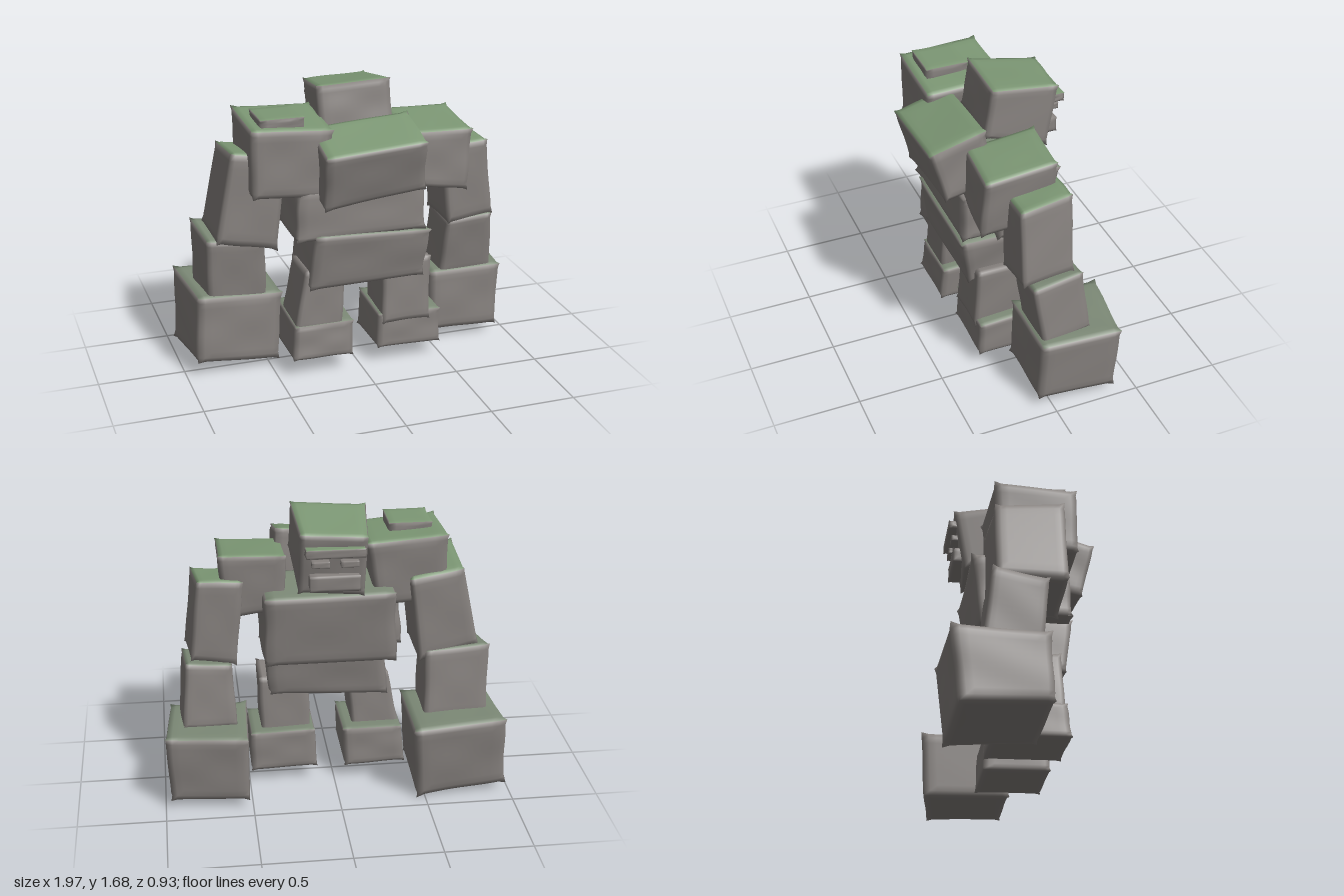
import * as THREE from 'three';
import { mergeVertices } from 'three/addons/utils/BufferGeometryUtils.js';

const stoneMat = new THREE.MeshStandardMaterial({ color: 0x87827f });
const mossMat = new THREE.MeshStandardMaterial({ color: 0x7d9875 });
const faintMossMat = new THREE.MeshStandardMaterial({ color: 0x7d8a77 });
const { lerp, clamp } = THREE.MathUtils;

// A worn block. quad: front corners [x, y] as bottom left, bottom right, top right, top left.
// z: [bottom back, bottom front, top back, top front].
// dy: how far the back rises [bottom, top]; dx: how far the back shifts [left, right].
// skew: how much further forward the +x side sits than the -x side [back, front].
function stone(name, quad, z, { top = stoneMat, dy = [0, 0], dx = [0, 0], skew = [0, 0], segments = 12 } = {}) {
  let geo = new THREE.BoxGeometry(2, 2, 2, segments, segments, segments);
  geo.deleteAttribute('uv');
  geo.deleteAttribute('normal');
  geo = mergeVertices(geo);
  const pos = geo.attributes.position;
  const p = new THREE.Vector3(), inner = new THREE.Vector3();
  const [bl, br, tr, tl] = quad;
  const phase = bl[0] * 17 + bl[1] * 9;
  for (let i = 0; i < pos.count; i++) {
    p.fromBufferAttribute(pos, i);
    // Blunt the edges, then pull the corners out into small ears
    const corner = Math.abs(p.x * p.y * p.z) > 0.99;
    inner.set(clamp(p.x, -0.88, 0.88), clamp(p.y, -0.88, 0.88), clamp(p.z, -0.88, 0.88));
    p.sub(inner).setLength(0.12).add(inner);
    if (corner) p.multiplyScalar(1.05);
    // Shallow dents over the faces
    p.multiplyScalar(1 + 0.012 * Math.sin(3 * p.x + phase) * Math.sin(4 * p.y + phase * 2 + 2 * p.z));
    const u = (p.x + 1) / 2, v = (p.y + 1) / 2, w = (p.z + 1) / 2;
    pos.setXYZ(i,
      lerp(lerp(bl[0], br[0], u), lerp(tl[0], tr[0], u), v) + lerp(dx[0], dx[1], u) * (1 - w),
      lerp(lerp(bl[1], br[1], u), lerp(tl[1], tr[1], u), v) + lerp(dy[0], dy[1], v) * (1 - w),
      lerp(lerp(z[0], z[1], w), lerp(z[2], z[3], w), v) + lerp(skew[0], skew[1], w) * (u - 0.5));
  }
  geo.computeVertexNormals();
  const mesh = new THREE.Mesh(geo, [stoneMat, stoneMat, top, stoneMat, stoneMat, stoneMat]);
  mesh.name = name;
  return mesh;
}

// Upright block given by its centre and size
function slab(name, [x, y, z], [w, h, d], top = stoneMat) {
  const [l, r, b, t] = [x - w / 2, x + w / 2, y - h / 2, y + h / 2];
  return stone(name, [[l, b], [r, b], [r, t], [l, t]], [z - d / 2, z + d / 2, z - d / 2, z + d / 2],
    { top, segments: 6 });
}

function group(name, ...parts) {
  const g = new THREE.Group();
  g.name = name;
  g.add(...parts);
  return g;
}

export function createModel() {
  const model = group('stoneGolem');

  // Torso
  model.add(group('torso',
    stone('upperBack', [[-0.26, 1.05], [0.33, 1.12], [0.31, 1.42], [-0.27, 1.38]], [0.1, 0.39, 0.14, 0.47],
      { top: mossMat, dy: [0.05, 0.09] }),
    stone('chest', [[-0.37, 0.84], [0.42, 0.84], [0.42, 1.26], [-0.35, 1.27]], [-0.21, 0.12, -0.26, 0.12],
      { top: faintMossMat, dy: [-0.04, -0.03], dx: [0.02, -0.02] }),
    stone('waist', [[-0.4, 0.85], [0.37, 0.85], [0.36, 1.13], [-0.38, 1.15]], [-0.08, 0.31, -0.08, 0.3]),
    stone('pelvis', [[-0.32, 0.54], [0.37, 0.55], [0.4, 0.85], [-0.29, 0.88]], [-0.08, 0.28, -0.11, 0.33],
      { top: faintMossMat, skew: [0.04, 0] })));

  // Head, with the face on the -z side
  const head = group('head',
    stone('skull', [[-0.19, 1.39], [0.24, 1.41], [0.23, 1.69], [-0.2, 1.67]], [-0.27, 0.11, -0.34, 0.06],
      { top: mossMat, dy: [-0.15, -0.06], dx: [0.04, -0.02], skew: [0.02, 0.02] }),
    slab('brow', [0.02, 1.53, -0.335], [0.33, 0.05, 0.08], mossMat),
    slab('jaw', [0.02, 1.345, -0.3], [0.28, 0.09, 0.09]));
  for (const s of [-1, 1]) {
    head.add(slab('eye', [0.02 + s * 0.08, 1.46, -0.325], [0.1, 0.035, 0.06]));
  }
  model.add(head);

  // Left arm
  model.add(group('leftArm',
    stone('shoulder', [[0.28, 1.1], [0.62, 1.05], [0.65, 1.41], [0.27, 1.41]], [-0.14, 0.29, -0.14, 0.27],
      { top: mossMat, dy: [0.02, 0.04], skew: [0.03, 0.03] }),
    stone('upperArm', [[0.57, 0.79], [0.85, 0.83], [0.8, 1.29], [0.52, 1.28]], [-0.16, 0.15, -0.16, 0.15],
      { top: mossMat, dy: [0.01, 0.03], dx: [-0.01, -0.03] }),
    stone('forearm', [[0.57, 0.42], [0.9, 0.42], [0.87, 0.81], [0.59, 0.79]], [-0.25, 0.04, -0.2, 0.1],
      { top: faintMossMat, dy: [0.03, 0.03], dx: [0, -0.02] }),
    stone('fist', [[0.5, 0.08], [0.93, 0.07], [0.95, 0.46], [0.5, 0.46]], [-0.4, 0.08, -0.42, 0.07],
      { top: faintMossMat, dy: [-0.01, 0.01], dx: [0.02, 0.04], skew: [0.06, 0] })));

  // Right arm
  model.add(group('rightArm',
    stone('shoulder', [[-0.64, 1.13], [-0.24, 1.1], [-0.17, 1.49], [-0.64, 1.52]], [-0.16, 0.3, -0.18, 0.3],
      { top: mossMat, dy: [0.02, 0.02], skew: [-0.02, 0] }),
    slab('shoulderPad', [-0.45, 1.525, 0.12], [0.25, 0.07, 0.25], mossMat),
    stone('upperArm', [[-0.83, 0.86], [-0.48, 0.78], [-0.42, 1.33], [-0.73, 1.38]], [-0.19, 0.21, -0.19, 0.21],
      { top: mossMat, dy: [0, -0.04], skew: [-0.02, 0] }),
    stone('forearm', [[-0.85, 0.42], [-0.51, 0.42], [-0.52, 0.81], [-0.86, 0.84]], [-0.26, 0.06, -0.21, 0.1],
      { top: faintMossMat, dy: [0.02, 0.04], dx: [-0.03, 0] }),
    stone('fist', [[-0.94, 0.1], [-0.45, 0.05], [-0.42, 0.47], [-0.92, 0.5]], [-0.4, 0.1, -0.45, 0.09],
      { top: faintMossMat, dy: [-0.04, 0], dx: [-0.04, 0], skew: [-0.03, -0.02] })));

  // Legs
  model.add(group('leftLeg',
    stone('shin', [[0.13, 0.26], [0.42, 0.26], [0.43, 0.65], [0.14, 0.62]], [-0.05, 0.26, -0.03, 0.24]),
    stone('foot', [[0.1, 0.11], [0.49, 0.1], [0.49, 0.31], [0.11, 0.32]], [-0.13, 0.26, -0.12, 0.25],
      { top: faintMossMat, dy: [-0.01, 0.02] })));
  model.add(group('rightLeg',
    stone('shin', [[-0.4, 0.28], [-0.12, 0.26], [-0.09, 0.62], [-0.33, 0.65]], [-0.05, 0.26, -0.03, 0.25]),
    stone('foot', [[-0.42, 0.12], [-0.06, 0.11], [-0.05, 0.32], [-0.4, 0.32]], [-0.15, 0.29, -0.14, 0.27],
      { top: faintMossMat, dy: [-0.01, 0.02] })));

  return model;
}
